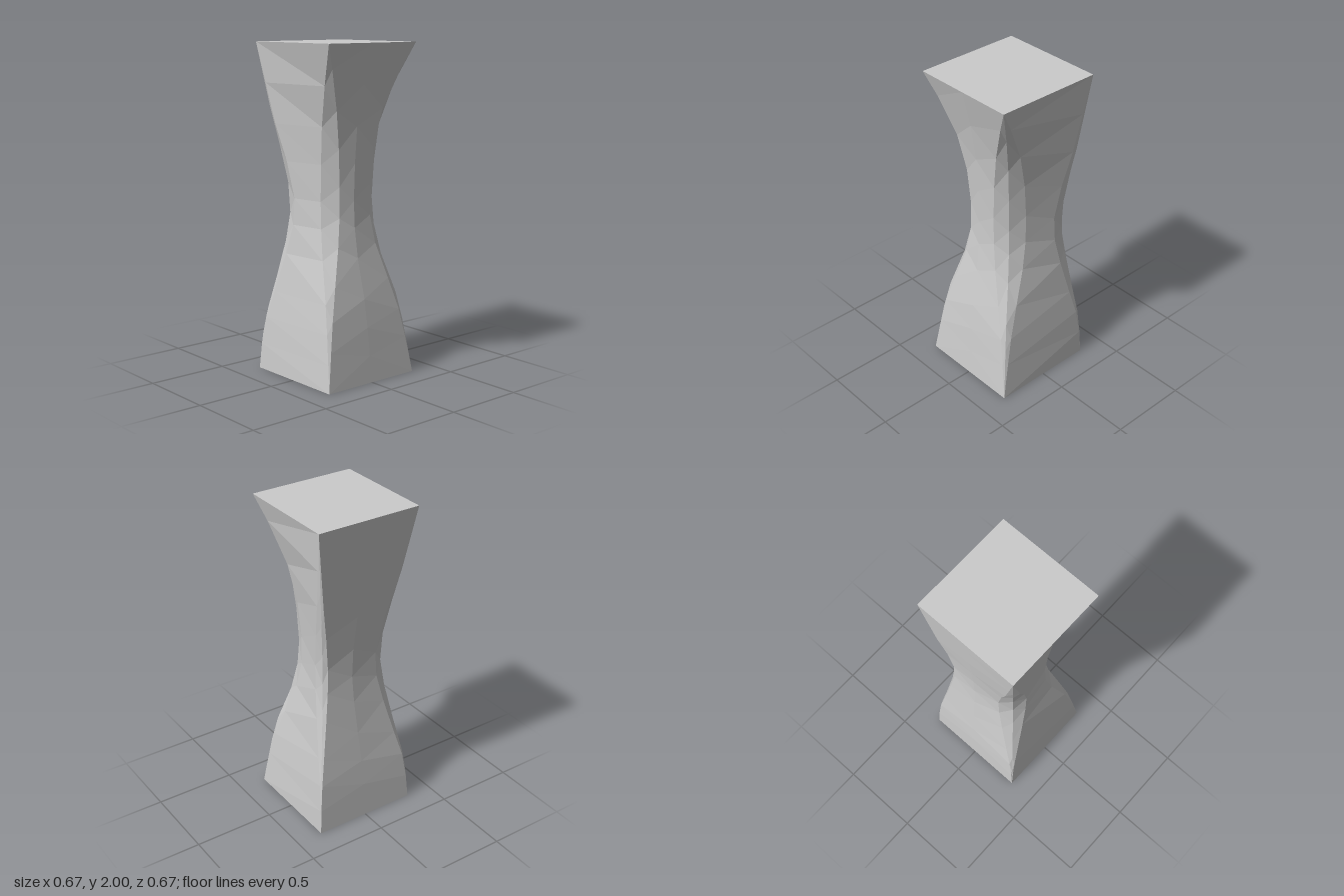
import * as THREE from 'three';

const H = 0.333; // half width of the square ends

// Waist cross-section, counter-clockwise from above: [x, z, end x, end z, isFront]
const RING = [
  [-0.20, 0.10, -H, H, 1], [-0.12, 0.178, -H, H, 1],                        // front left corner
  [-0.03, 0.20, 0, H, 1],                                                   // front face
  [0.09, 0.195, H, H, 1], [0.165, 0.14, H, H, 1], [0.205, 0.04, H, H, 1],   // front right corner
  [0.243, -0.15, H, -H, 0], [0.235, -0.215, H, -H, 0], [0.215, -0.24, H, -H, 0], // back right corner
  [0.05, -0.245, 0, -H, 0],                                                 // back face
  [-0.13, -0.23, -H, -H, 0], [-0.20, -0.178, -H, -H, 0], [-0.235, -0.10, -H, -H, 0], // back left corner
];

// Height, and how far the front and back are pulled in towards the waist
const LEVELS = [
  [0, 0, 0], [0.16, 0.12, 0.07], [0.33, 0.25, 0.2], [0.5, 0.42, 0.44], [0.74, 0.78, 0.76],
  [0.92, 0.95, 0.96], [1.08, 1, 1], [1.3, 0.95, 0.8], [1.52, 0.84, 0.5], [1.76, 0.5, 0.25], [2, 0, 0],
];

// One ring of points; every second column is staggered upwards, except at the ends
function ringAt(level, j) {
  const next = LEVELS[j + 1];
  const isEnd = j === 0 || !next;
  return RING.map(([x, z, ex, ez, isFront], i) => {
    const t = isEnd || i % 2 === 0 ? 0 : 0.4;
    const [y, front, back] = t ? level.map((v, k) => v + (next[k] - v) * t) : level;
    const w = isFront ? front : back;
    return new THREE.Vector3(ex + (x - ex) * w, y, ez + (z - ez) * w);
  });
}

export function createModel() {
  const group = new THREE.Group();
  group.name = 'waistedColumn';
  const material = new THREE.MeshStandardMaterial({ color: 0xcccccc, flatShading: true });

  // Faceted shaft, with the quad diagonals alternating
  const rings = LEVELS.map(ringAt);
  const sides = [];
  const n = RING.length;
  for (let j = 0; j < rings.length - 1; j++) {
    for (let i = 0; i < n; i++) {
      const k = (i + 1) % n;
      const a = rings[j][i], b = rings[j][k], c = rings[j + 1][k], d = rings[j + 1][i];
      const pair = i % 2 ? [[a, b, c], [a, c, d]] : [[a, b, d], [b, c, d]];
      // Corner points merge at the square ends, so drop empty triangles
      sides.push(...pair.filter((t) => new THREE.Triangle(...t).getArea() > 1e-8));
    }
  }
  const geometry = new THREE.BufferGeometry().setFromPoints(sides.flat());
  geometry.computeVertexNormals();
  const shaft = new THREE.Mesh(geometry, material);
  shaft.name = 'shaft';
  group.add(shaft);

  // Flat square ends
  for (const [name, y, angle] of [['topFace', 2, -Math.PI / 2], ['bottomFace', 0, Math.PI / 2]]) {
    const cap = new THREE.Mesh(new THREE.PlaneGeometry(2 * H, 2 * H), material);
    cap.name = name;
    cap.rotation.x = angle;
    cap.position.y = y;
    group.add(cap);
  }
  return group;
}
